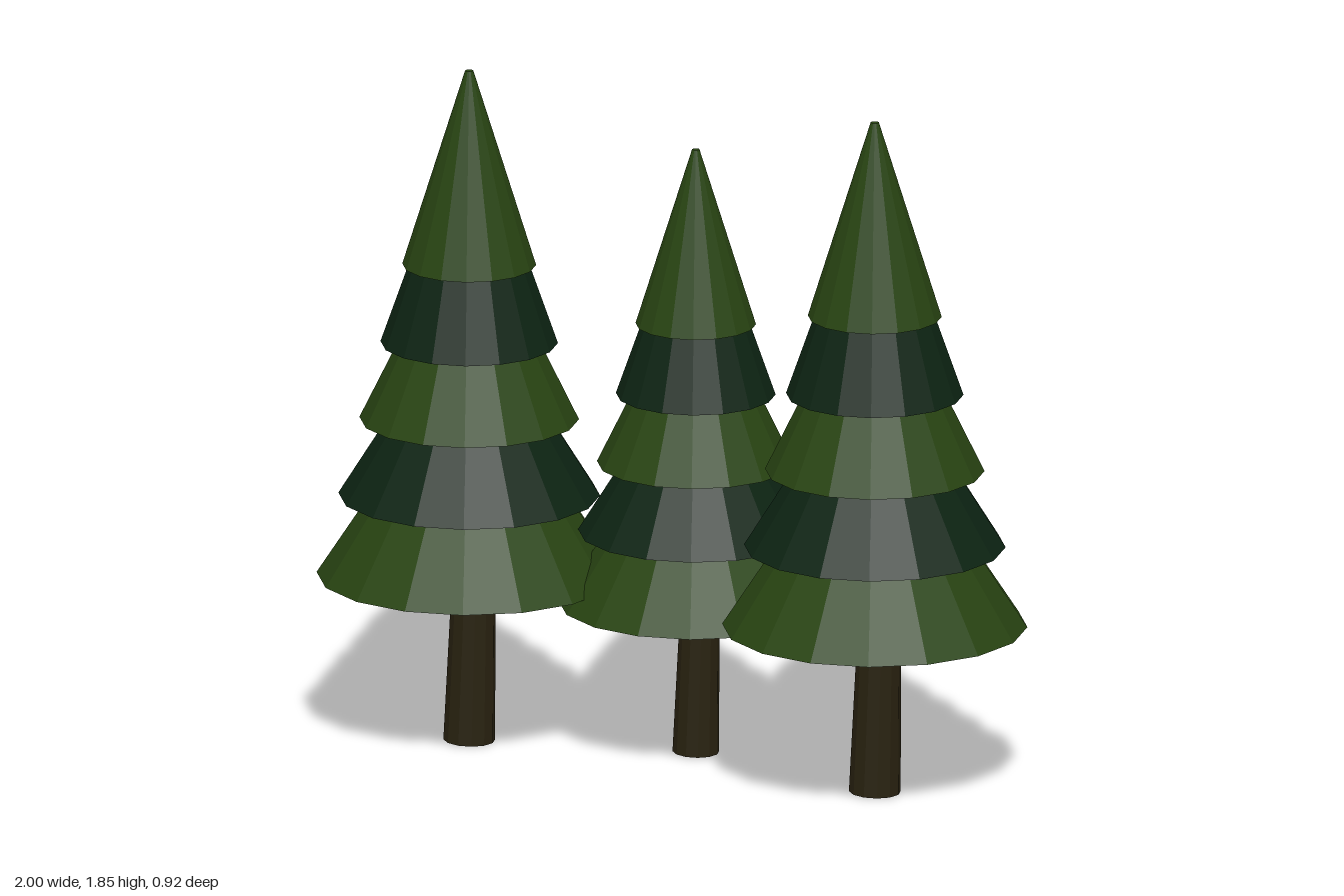
import * as THREE from 'three';

const mat = (name, color) => {
  const m = new THREE.MeshStandardMaterial({ color, flatShading: true });
  m.name = name;
  return m;
};

export function createModel() {
  const lightGreen = mat('light needle green', 0x284412);
  const darkGreen = mat('dark needle green', 0x0d2413);
  const bark = mat('dark bark brown', 0x292210);

  // Branch tiers from the ground up: [base height, base radius, top height, top radius]
  const tiers = [
    [0.46, 0.406, 0.69, 0.255],
    [0.68, 0.348, 0.90, 0.210],
    [0.89, 0.292, 1.11, 0.184],
    [1.10, 0.236, 1.325, 0.157],
    [1.315, 0.178, 1.85, 0.011],
  ];

  function makeTree(name, x, z, scale) {
    const tree = new THREE.Group();
    tree.name = name;

    // Tapered trunk leaning slightly, its top hidden in the lowest tier
    const trunkGeo = new THREE.CylinderGeometry(0.057, 0.069, 0.5, 12);
    trunkGeo.translate(0, 0.25, 0);
    const trunk = new THREE.Mesh(trunkGeo, bark);
    trunk.name = 'trunk';
    trunk.rotation.z = -0.03;
    trunk.position.y = 0.002;
    tree.add(trunk);

    // Stacked cones in alternating greens
    tiers.forEach(([y0, r0, y1, r1], i) => {
      const geo = new THREE.CylinderGeometry(r1, r0, y1 - y0, 16);
      const tier = new THREE.Mesh(geo, i % 2 ? darkGreen : lightGreen);
      tier.name = `branchTier${i + 1}`;
      tier.position.y = (y0 + y1) / 2;
      tree.add(tier);
    });

    tree.position.set(x, 0, z);
    tree.scale.setScalar(scale);
    return tree;
  }

  const group = new THREE.Group();
  group.name = 'pineTrees';
  group.add(
    makeTree('rightTree', -0.594, 0.05, 1),
    makeTree('middleTree', 0, -0.1, 0.9),
    makeTree('leftTree', 0.594, 0.05, 1),
  );
  return group;
}
